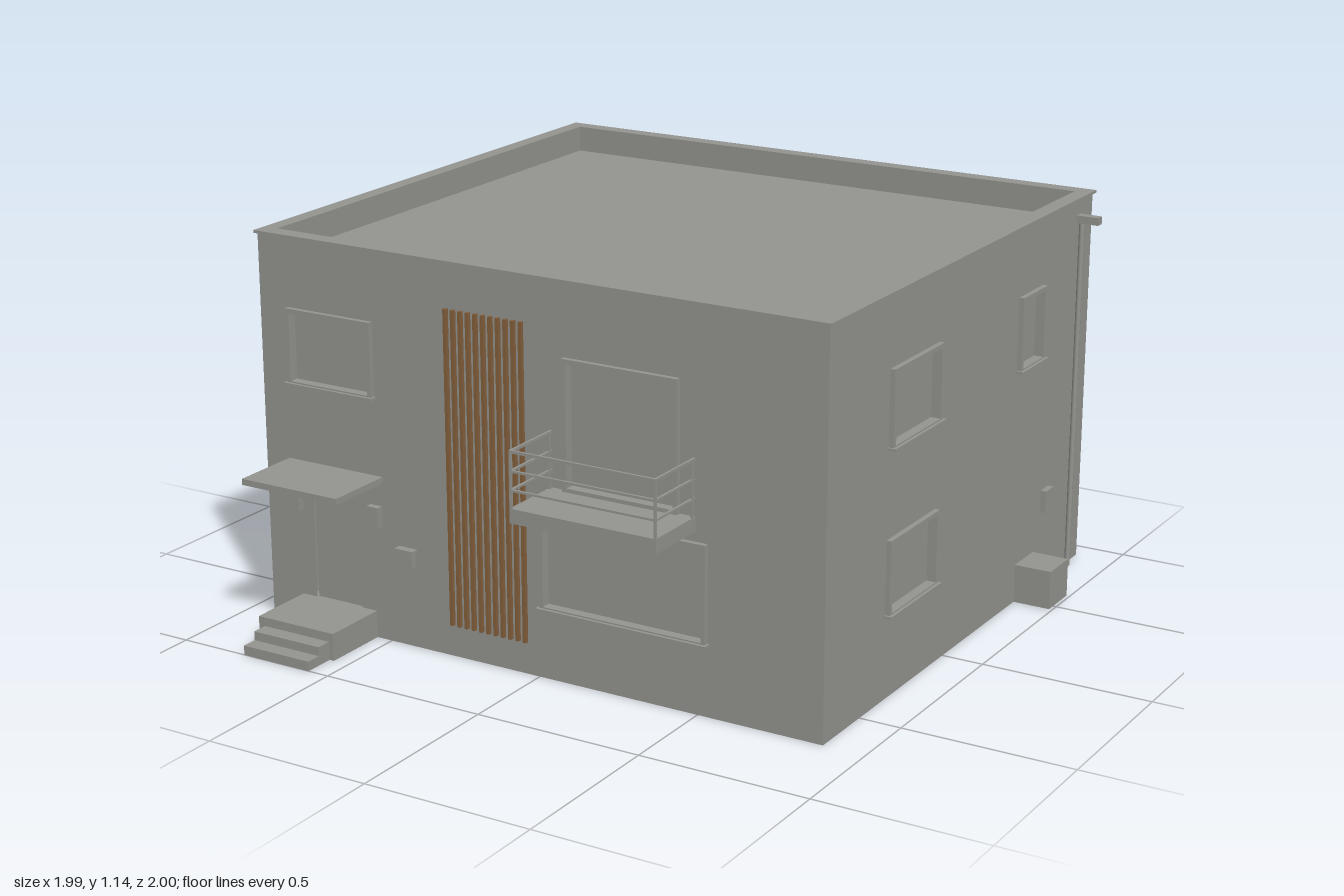
import * as THREE from 'three';

const concrete = new THREE.MeshStandardMaterial({ name: 'warm grey render', color: 0x959591, side: THREE.DoubleSide });
const timber = new THREE.MeshStandardMaterial({ name: 'brown timber', color: 0x85603c });

// outer wall planes, roof deck and parapet heights
const X0 = -0.92, X1 = 0.877, Z0 = -0.927, Z1 = 0.703, DECK = 1.06, TOP = 1.13;

function box(parent, name, x0, x1, y0, y1, z0, z1, mat = concrete) {
  const m = new THREE.Mesh(new THREE.BoxGeometry(x1 - x0, y1 - y0, z1 - z0), mat);
  m.position.set((x0 + x1) / 2, (y0 + y1) / 2, (z0 + z1) / 2);
  m.name = name;
  parent.add(m);
  return m;
}

function rect(target, x0, x1, y0, y1) {
  target.moveTo(x0, y0).lineTo(x1, y0).lineTo(x1, y1).lineTo(x0, y1).closePath();
  return target;
}

function ring(outer, inner, depth) {
  const s = rect(new THREE.Shape(), ...outer);
  s.holes.push(rect(new THREE.Path(), ...inner));
  return new THREE.ExtrudeGeometry(s, { depth, bevelEnabled: false });
}

// One window in wall space: u runs rightwards seen from outside, z points outwards
function addWindow(wall, [u0, u1, y0, y1, sill = true]) {
  const t = 0.013;
  const frame = new THREE.Mesh(
    ring([u0, u1, y0, y1], [u0 + t, u1 - t, y0 + (sill ? 0.004 : t), y1 - t], 0.03), concrete);
  frame.position.z = -0.015;
  frame.name = 'windowFrame';
  wall.add(frame);
  const pane = new THREE.Mesh(new THREE.PlaneGeometry(u1 - u0, y1 - y0), concrete);
  pane.position.set((u0 + u1) / 2, (y0 + y1) / 2, -0.014);
  pane.name = 'windowPane';
  wall.add(pane);
  if (sill) box(wall, 'windowSill', u0 - 0.006, u1 + 0.006, y0 - 0.008, y0, -0.01, 0.024);
}

// Thin wall with openings, its windows, placed and turned to face outwards
function addWall(house, name, u0, u1, windows, position, angle, openings = []) {
  const wall = new THREE.Group();
  wall.name = name;
  const s = rect(new THREE.Shape(), u0, u1, 0, TOP);
  for (const w of [...windows, ...openings]) s.holes.push(rect(new THREE.Path(), w[0], w[1], w[2], w[3]));
  const face = new THREE.Mesh(new THREE.ShapeGeometry(s), concrete);
  face.name = name + 'Surface';
  wall.add(face);
  windows.forEach(w => addWindow(wall, w));
  wall.position.set(...position);
  wall.rotation.y = angle;
  house.add(wall);
  return wall;
}

// Rainwater spout, hopper and downpipe in wall space
function addDownpipe(wall, u, reach) {
  box(wall, 'rainSpout', u - 0.013, u + 0.013, 1.063, 1.086, -0.02, reach);
  const pipe = new THREE.Mesh(new THREE.CylinderGeometry(0.008, 0.008, 1.065, 12), concrete);
  pipe.position.set(u, 0.5325, 0.012);
  pipe.name = 'downpipe';
  wall.add(pipe);
}

export function createModel() {
  const house = new THREE.Group();
  house.name = 'house';

  // Walls and windows
  const door = [-0.76, -0.598, 0.075, 0.43];
  const front = addWall(house, 'frontWall', X0, X1, [
    [-0.825, -0.535, 0.716, 0.93],
    [0.09, 0.445, 0.555, 0.926, false],
    [0.01, 0.53, 0.21, 0.488],
  ], [0, 0, Z1], 0, [door]);
  const right = addWall(house, 'leftSideWall', -Z1, -Z0, [
    [-0.365, -0.075, 0.716, 0.93],
    [-0.365, -0.075, 0.246, 0.457],
    [0.432, 0.594, 0.716, 0.93],
  ], [X1, 0, 0], Math.PI / 2);
  const left = addWall(house, 'rightSideWall', Z0, Z1, [
    [-0.588, -0.292, 0.716, 0.93],
    [-0.588, -0.292, 0.246, 0.457],
    [0.226, 0.396, 0.716, 0.93],
  ], [X0, 0, 0], -Math.PI / 2);
  const back = addWall(house, 'backWall', -X1, -X0, [
    [-0.53, -0.24, 0.716, 0.93],
    [0.284, 0.576, 0.716, 0.93],
    [-0.236, 0.28, 0.21, 0.488],
  ], [0, 0, Z0], Math.PI);

  // Downpipes
  addDownpipe(right, 0.829, 0.068);
  addDownpipe(left, -0.831, 0.078);
  addDownpipe(back, 0.19, 0.073);

  // Roof deck, parapet lining and coping
  const deck = new THREE.Mesh(new THREE.PlaneGeometry(X1 - X0, Z1 - Z0), concrete);
  deck.rotation.x = -Math.PI / 2;
  deck.position.set((X0 + X1) / 2, DECK, (Z0 + Z1) / 2);
  deck.name = 'roofDeck';
  house.add(deck);
  const inner = [-0.882, 0.836, -0.662, 0.888];
  const parapets = [
    ['parapet', [X0 + 0.002, X1 - 0.002, -Z1 + 0.002, -Z0 - 0.002], DECK, TOP - DECK],
    ['coping', [-0.928, 0.885, -0.711, 0.935], TOP, 0.008],
  ];
  for (const [name, outer, y, h] of parapets) {
    const m = new THREE.Mesh(ring(outer, inner, h), concrete);
    m.rotation.x = -Math.PI / 2;
    m.position.y = y;
    m.name = name;
    house.add(m);
  }

  // Entrance: door, canopy, steps, lamps and letter box
  box(front, 'frontDoor', ...door, -0.02, -0.008);
  box(house, 'entranceCanopy', -0.84, -0.515, 0.467, 0.485, 0.67, 0.915);
  box(house, 'entrancePlatform', -0.81, -0.55, 0, 0.08, 0.67, 0.906);
  box(house, 'middleStep', -0.79, -0.565, 0, 0.054, 0.906, 0.953);
  box(house, 'lowerStep', -0.79, -0.565, 0, 0.028, 0.953, 1.0);
  for (const u of [-0.817, -0.54]) box(front, 'wallLamp', u - 0.019, u + 0.019, 0.338, 0.398, -0.005, 0.02);
  box(front, 'letterBox', -0.458, -0.41, 0.238, 0.287, 0, 0.018);
  box(front, 'letterBoxLid', -0.464, -0.404, 0.287, 0.292, 0, 0.024);

  // Vertical timber slats
  for (let i = 0; i < 11; i++) {
    const u = -0.284 + i * 0.0242;
    box(front, 'timberSlat', u - 0.005, u + 0.005, 0.094, 1.005, 0, 0.012, timber);
  }

  // Balcony slab with three-sided railing
  const balcony = new THREE.Group();
  balcony.name = 'balcony';
  house.add(balcony);
  const bx0 = 0.044, bx1 = 0.492, bz = 0.9;
  box(balcony, 'balconySlab', bx0, bx1, 0.516, 0.557, 0.68, bz);
  for (const [y, h] of [[0.607, 0.006], [0.66, 0.006], [0.714, 0.008]]) {
    box(balcony, 'frontRail', bx0, bx1, y - h / 2, y + h / 2, bz - 0.007, bz);
    for (const x of [bx0, bx1 - 0.007])
      box(balcony, 'sideRail', x, x + 0.007, y - h / 2, y + h / 2, Z1, bz - 0.007);
  }
  for (const x of [bx0, bx1 - 0.007])
    for (const z of [0.718, bz]) box(balcony, 'railPost', x, x + 0.007, 0.557, 0.715, z - 0.007, z);

  // Services on the side walls
  box(right, 'serviceUnit', 0.472, 0.597, 0, 0.115, 0, 0.113);
  box(right, 'meterBox', 0.637, 0.69, 0.227, 0.294, 0, 0.018);
  const tap = new THREE.Mesh(new THREE.CylinderGeometry(0.008, 0.008, 0.012, 12), concrete);
  tap.rotation.x = Math.PI / 2;
  tap.position.set(0.535, 0.112, 0.004);
  tap.name = 'gardenTap';
  left.add(tap);

  return house;
}
